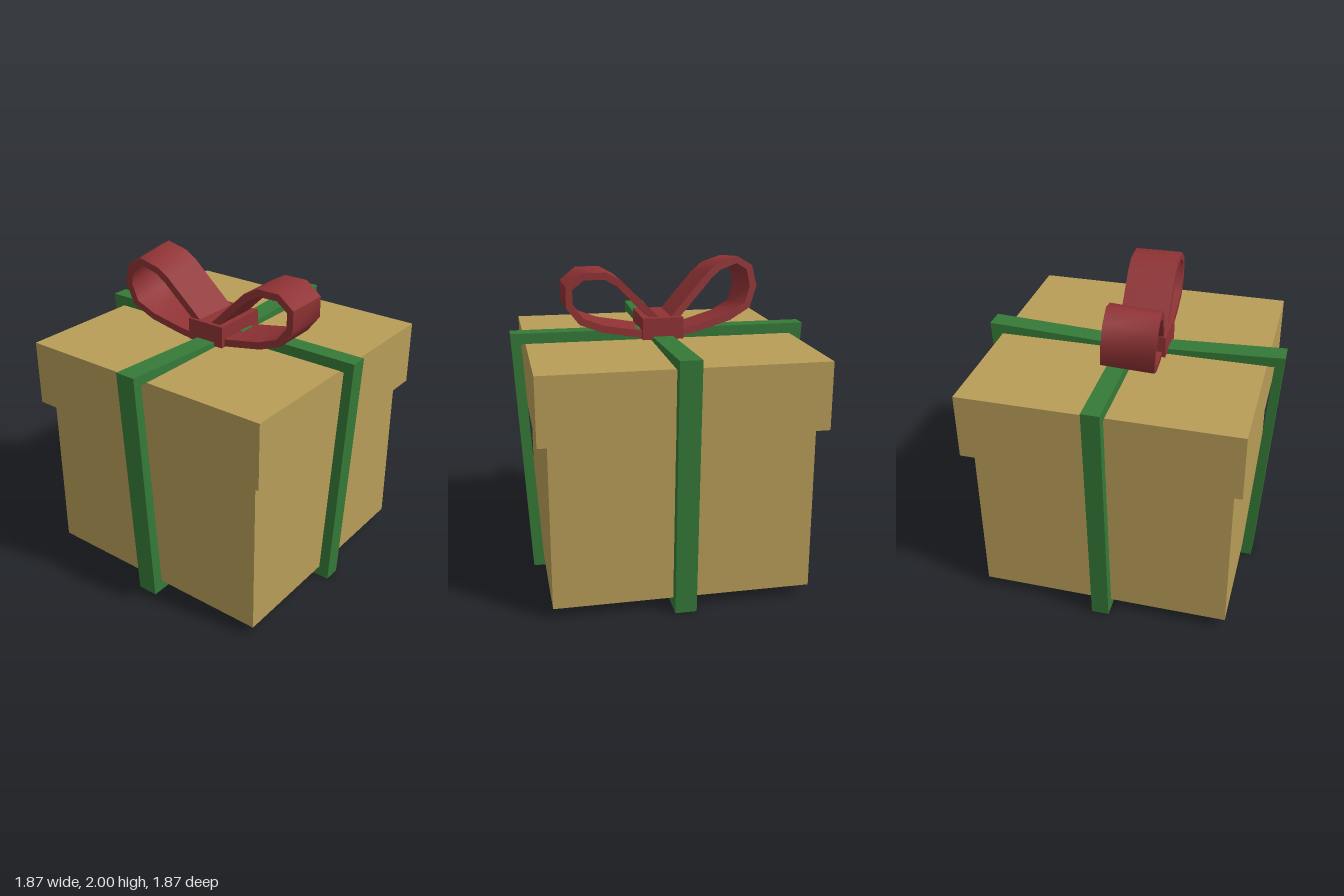
import * as THREE from 'three';
import { toCreasedNormals } from 'three/addons/utils/BufferGeometryUtils.js';

const paper = new THREE.MeshStandardMaterial({ color: 0xb89d58 });
const green = new THREE.MeshStandardMaterial({ color: 0x357a38 });
const red = new THREE.MeshStandardMaterial({ color: 0x8f3234 });

const points = (list) => list.map(([x, y]) => new THREE.Vector2(x, y));

function addMesh(group, name, geometry, material) {
  const mesh = new THREE.Mesh(geometry, material);
  mesh.name = name;
  group.add(mesh);
  return mesh;
}

// Box given by its lowest and highest corners
function addBox(group, name, material, min, max) {
  const size = max.map((v, i) => v - min[i]);
  const mesh = addMesh(group, name, new THREE.BoxGeometry(...size), material);
  mesh.position.set(...max.map((v, i) => (v + min[i]) / 2));
}

// Closed band around the box, drawn as a frame with a hole
function bandGeometry(outer, inner, from, to) {
  const shape = new THREE.Shape(points(outer));
  shape.holes.push(new THREE.Path(points(inner)));
  const geometry = new THREE.ExtrudeGeometry(shape, { depth: to - from, bevelEnabled: false });
  return geometry.translate(0, 0, from);
}

// Strap of even thickness whose outer edge follows an open line of points
function strapShape(list, thickness) {
  const outer = points(list);
  const inner = outer.map((p, i) => {
    const a = outer[Math.max(i - 1, 0)];
    const b = outer[Math.min(i + 1, outer.length - 1)];
    const t = b.clone().sub(a).normalize();
    return new THREE.Vector2(p.x + t.y * thickness, p.y - t.x * thickness);
  });
  return new THREE.Shape([...outer, ...inner.reverse()]);
}

// Bow loop: profile in (distance from knot, height), leaned by three axis vectors
function loopGeometry(profile, outward, up, across, origin) {
  const shape = strapShape(profile, 0.045);
  const geometry = new THREE.ExtrudeGeometry(shape, { depth: 1, bevelEnabled: false });
  const matrix = new THREE.Matrix4()
    .makeBasis(new THREE.Vector3(...outward), new THREE.Vector3(...up), new THREE.Vector3(...across))
    .setPosition(...origin);
  geometry.applyMatrix4(matrix);
  return toCreasedNormals(geometry, 0.85);
}

export function createModel() {
  const model = new THREE.Group();
  model.name = 'giftBox';

  // Box and lid
  addBox(model, 'boxBody', paper, [-0.775, 0.07, -0.785], [0.795, 1.09, 0.785]);
  addBox(model, 'lid', paper, [-0.83, 1.09, -0.85], [0.855, 1.5, 0.845]);

  // Ribbon running side to side, sagging under the knot
  addMesh(model, 'sideRibbon', bandGeometry(
    [[-0.84, 0], [0.86, 0], [0.935, 1.565], [0.01, 1.523], [-0.935, 1.565]],
    [[-0.775, 0.07], [0.795, 0.07], [0.87, 1.5], [0.01, 1.455], [-0.875, 1.5]],
    -0.065, 0.065), green);

  // Ribbon running front to back
  addMesh(model, 'frontRibbon', bandGeometry(
    [[-0.85, 0], [0.85, 0], [0.935, 1.565], [-0.935, 1.565]],
    [[-0.785, 0.07], [0.785, 0.07], [0.87, 1.498], [-0.87, 1.498]],
    -0.04, 0.07).rotateY(Math.PI / 2), green);

  // Knot
  addBox(model, 'knot', red, [-0.22, 1.51, -0.13], [0.15, 1.645, 0.125]);

  // Front bow loop, turned slightly to the left
  const frontProfile = [[-0.02, 1.6], [0.04, 1.66], [0.26, 1.88], [0.35, 1.93], [0.5, 1.93],
    [0.6, 1.85], [0.6, 1.72], [0.52, 1.615], [0.38, 1.56], [0.1, 1.51], [-0.02, 1.51]];
  addMesh(model, 'frontBowLoop', loopGeometry(frontProfile,
    [0.03, 0, 1], [0, 1, 0], [-0.3, 0, 0.008], [0.103, 0, -0.006]), red);

  // Back bow loop, taller and leaning to the right
  const backProfile = [[-0.01, 1.58], [0.08, 1.665], [0.3, 1.905], [0.37, 1.96], [0.5, 2.0],
    [0.6, 1.94], [0.63, 1.81], [0.585, 1.675], [0.45, 1.6], [0.25, 1.545], [0.1, 1.515], [0, 1.51]];
  addMesh(model, 'backBowLoop', loopGeometry(backProfile,
    [-0.1, 0, -1], [-0.08, 1, 0], [0.305, 0.03, -0.03], [-0.057, -0.03, 0.03]), red);

  return model;
}
